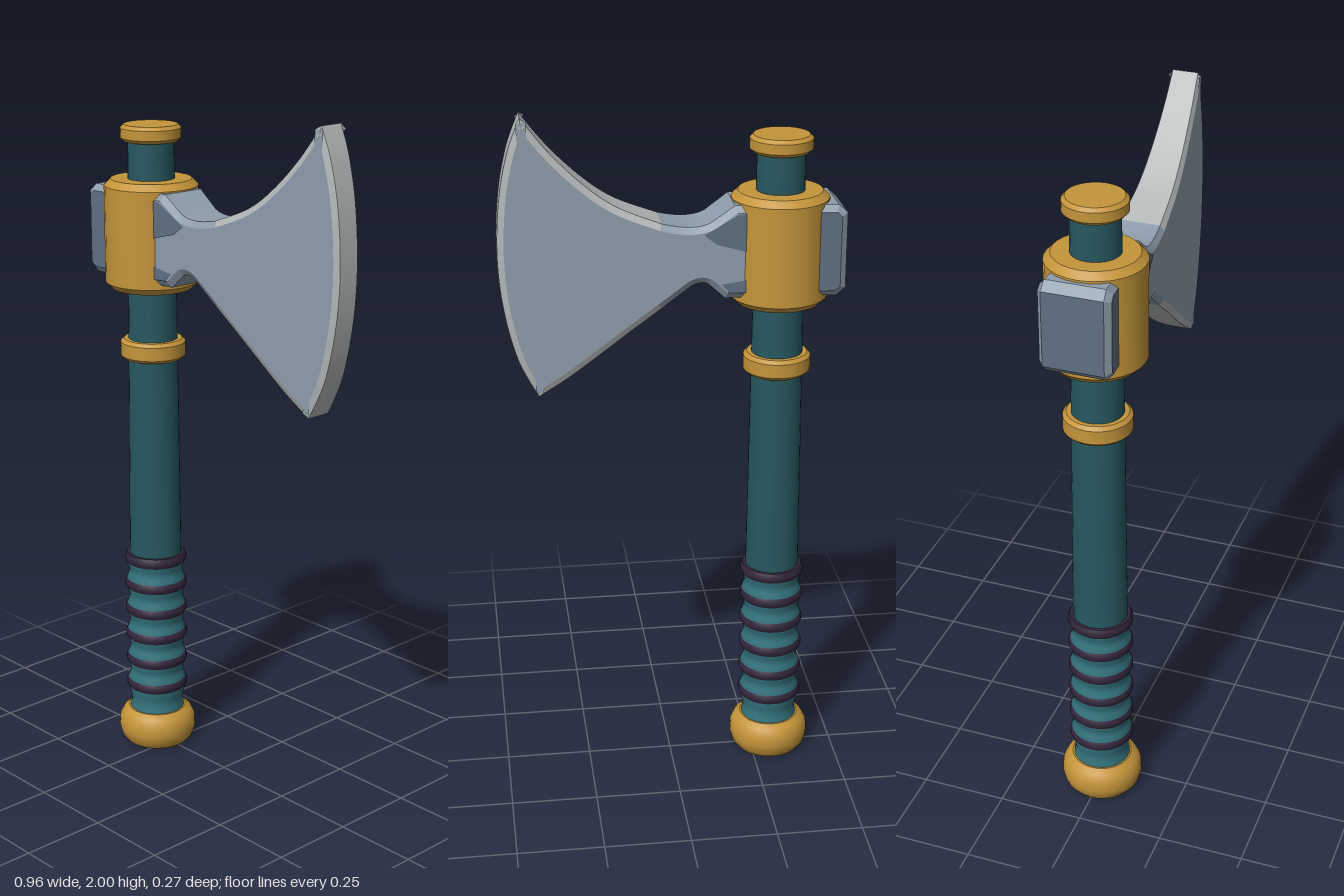
import * as THREE from 'three';
import { toCreasedNormals } from 'three/addons/utils/BufferGeometryUtils.js';

const AXIS = -0.307; // x of the handle
const mat = (name, color, side = THREE.FrontSide) => {
  const m = new THREE.MeshStandardMaterial({ color, side });
  m.name = name;
  return m;
};

export function createModel() {
  const gold = mat('gold', 0xc4953a);
  const teal = mat('teal', 0x26585f);
  const gripTeal = mat('gripTeal', 0x34747d);
  const binding = mat('darkBinding', 0x32253a);
  const steel = mat('steel', 0x8e9dac);
  const darkSteel = mat('darkSteel', 0x5f6f81, THREE.DoubleSide);
  const edgeSteel = mat('edgeSteel', 0xb2b7b8);

  const model = new THREE.Group();
  model.name = 'axe';
  const add = (name, geometry, material) => {
    const mesh = new THREE.Mesh(geometry, material);
    mesh.name = name;
    model.add(mesh);
    return mesh;
  };

  // Round parts turned about the handle axis, profile given bottom to top as [radius, y]
  const turn = (name, profile, material) => {
    const pts = profile.map(([r, y]) => new THREE.Vector2(r, y));
    const geo = toCreasedNormals(new THREE.LatheGeometry(pts, 28), 0.6);
    add(name, geo, material).position.x = AXIS;
  };
  // Ring or cap with chamfered rims
  const band = (name, r, y0, y1, c, material) => turn(name,
    [[0, y0], [r - c, y0], [r, y0 + c], [r, y1 - c], [r - c, y1], [0, y1]], material);

  turn('pommel', [[0, 0], [0.098, 0], [0.112, 0.018], [0.119, 0.045], [0.117, 0.075],
    [0.106, 0.097], [0.088, 0.11], [0, 0.11]], gold);
  turn('shaft', [[0.079, 0.6], [0.073, 1.27], [0.067, 1.89]], teal);
  band('lowerBand', 0.096, 1.24, 1.3, 0.01, gold);
  band('collar', 0.137, 1.453, 1.773, 0.019, gold);
  band('topCap', 0.088, 1.88, 1.928, 0.01, gold);

  // Grip waisted between dark bindings
  const ringY = [0.195, 0.278, 0.361, 0.444, 0.527, 0.61];
  const gripProfile = [[0.084, 0.1], [0.082, 0.12], [0.078, 0.135], [0.082, 0.155]];
  ringY.forEach((y, i) => {
    gripProfile.push([0.089, y - 0.014], [0.089, y + 0.014]);
    if (i < 5) gripProfile.push([0.083, y + 0.03], [0.081, y + 0.0415], [0.083, y + 0.053]);
    turn('gripBinding', [[0.07, y - 0.016], [0.088, y - 0.016], [0.094, y - 0.005],
      [0.094, y + 0.005], [0.088, y + 0.016], [0.07, y + 0.016]], binding);
  });
  turn('grip', gripProfile, gripTeal);

  // Head: half thickness tapers from the poll to the cutting edge
  const half = (x) => 0.07 - 0.065 * x;
  const taper = (geo, offset = 0) => {
    const p = geo.attributes.position;
    for (let i = 0; i < p.count; i++) p.setZ(i, p.getZ(i) * (half(p.getX(i)) + offset));
    geo.computeVertexNormals();
    return geo;
  };
  // Bevelled slab with materials chosen per triangle: pick(isFace, centreX) gives an index
  const slab = (name, shape, bevelSize, materials, pick) => {
    const t = 0.16;
    const depth = 2 * (1 - t);
    let geo = new THREE.ExtrudeGeometry(shape, { depth, bevelThickness: t, bevelSize,
      bevelOffset: -bevelSize, bevelSegments: 1, curveSegments: 14 });
    geo.translate(0, 0, -depth / 2);
    geo = toCreasedNormals(taper(geo), 0.3);
    const p = geo.attributes.position;
    const faces = geo.groups[0].count;
    geo.clearGroups();
    for (let i = 0; i < p.count; i += 3) {
      const cx = (p.getX(i) + p.getX(i + 1) + p.getX(i + 2)) / 3;
      geo.addGroup(i, 3, pick(i < faces, cx));
    }
    add(name, geo, materials);
  };
  const outline = (pts) => new THREE.Shape(pts.map(([x, y]) => new THREE.Vector2(x, y)));

  // Poll behind the collar, dark on its flat faces
  slab('poll', outline([[-0.3, 1.488], [-0.455, 1.488], [-0.48, 1.51], [-0.48, 1.725],
    [-0.455, 1.748], [-0.3, 1.748]]), 0.018, [steel, darkSteel],
  (face, x) => (face || x < -0.479 ? 1 : 0));

  // Blade with waisted neck and curved cutting edge
  const v = (x, y) => new THREE.Vector2(x, y);
  const blade = new THREE.Shape();
  blade.moveTo(-0.3, 1.485);
  blade.lineTo(-0.145, 1.487);
  blade.lineTo(-0.1, 1.528);
  blade.quadraticCurveTo(-0.08, 1.54, -0.05, 1.522);
  blade.lineTo(0.03, 1.46);
  blade.splineThru([v(0.12, 1.392), v(0.2, 1.33), v(0.29, 1.262), v(0.375, 1.207)]);
  blade.splineThru([v(0.43, 1.32), v(0.465, 1.47), v(0.477, 1.62), v(0.467, 1.78), v(0.44, 1.91), v(0.405, 2)]);
  blade.splineThru([v(0.33, 1.905), v(0.24, 1.816), v(0.15, 1.752), v(0.03, 1.703)]);
  blade.quadraticCurveTo(-0.06, 1.68, -0.105, 1.703);
  blade.lineTo(-0.17, 1.75);
  blade.lineTo(-0.3, 1.75);
  slab('blade', blade, 0.018, [steel, edgeSteel], (face, x) => (!face && x > 0.03 ? 1 : 0));

  // Dark cheek patches on both sides of the neck
  const patches = [
    [[-0.25, 1.735], [-0.178, 1.728], [-0.085, 1.672], [-0.12, 1.645], [-0.25, 1.61]],
    [[-0.25, 1.503], [-0.155, 1.506], [-0.135, 1.53], [-0.25, 1.55]],
  ];
  for (const side of [1, -1]) {
    for (const pts of patches) {
      const geo = new THREE.ShapeGeometry(outline(pts));
      geo.translate(0, 0, side);
      add('cheekPatch', taper(geo, 0.003), darkSteel);
    }
  }
  return model;
}
